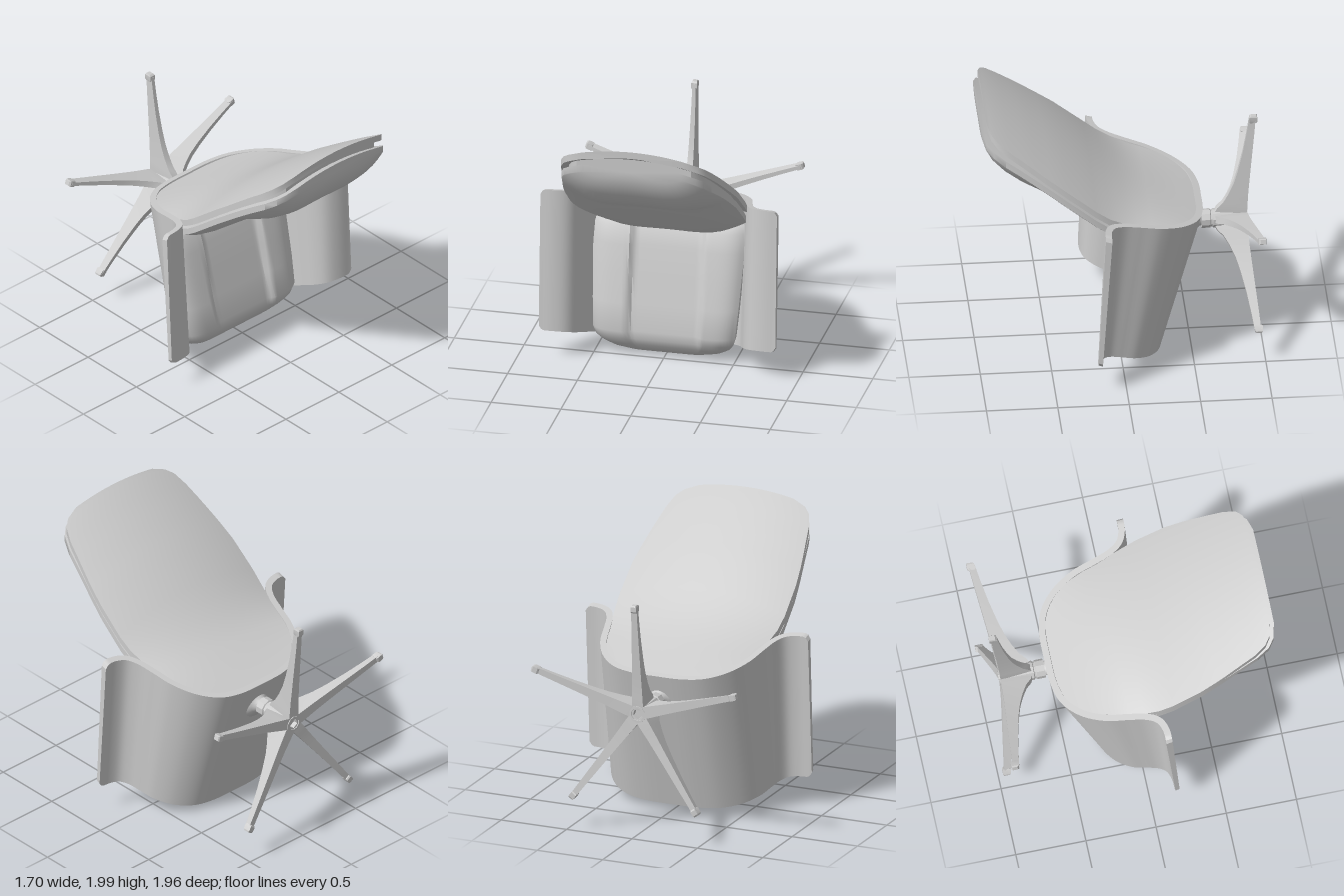
import * as THREE from 'three';
import { toCreasedNormals } from 'three/addons/utils/BufferGeometryUtils.js';

const material = new THREE.MeshStandardMaterial({ color: 0xcccccc });
const V = (x, y, z) => new THREE.Vector3(x, y, z);
const { smoothstep, lerp } = THREE.MathUtils;

// Skin closed rings of equal length, cap both ends and face the skin outwards
function loft(rings, crease = 0.6) {
  const n = rings[0].length, last = rings.length - 1;
  const pts = rings.flat(), tris = [];
  for (let i = 0; i < last; i++) {
    for (let j = 0; j < n; j++) {
      const a = i * n + j, b = i * n + (j + 1) % n;
      tris.push([a, b, a + n], [b, b + n, a + n]);
    }
  }
  for (const i of [0, last]) {
    const c = pts.length;
    pts.push(rings[i].reduce((s, p) => s.add(p), V(0, 0, 0)).divideScalar(n));
    for (let j = 0; j < n; j++) {
      const a = i * n + j, b = i * n + (j + 1) % n;
      tris.push(i ? [a, b, c] : [b, a, c]);
    }
  }
  let volume = 0;
  for (const [a, b, c] of tris) volume += pts[a].dot(V(0, 0, 0).crossVectors(pts[b], pts[c]));
  if (volume < 0) tris.forEach((t) => t.reverse());
  const geo = new THREE.BufferGeometry().setFromPoints(pts);
  geo.setIndex(tris.flat());
  return toCreasedNormals(geo, crease);
}

function add(parent, name, geometry) {
  const mesh = new THREE.Mesh(geometry, material);
  mesh.name = name;
  parent.add(mesh);
}

// Backrest stations: z, half width, height of back surface, height of cushion face
const stations = [
  [-0.55, 0.24, 1.075, 1.05], [-0.53, 0.32, 1.083, 1.05], [-0.45, 0.425, 1.112, 1.03],
  [-0.35, 0.49, 1.152, 0.96], [-0.2, 0.545, 1.215, 0.925], [-0.1, 0.572, 1.262, 0.955],
  [0, 0.60, 1.325, 1.03], [0.1, 0.62, 1.395, 1.10], [0.2, 0.63, 1.475, 1.17],
  [0.4, 0.625, 1.635, 1.33], [0.52, 0.607, 1.72, 1.425], [0.57, 0.597, 1.755, 1.46],
  [0.62, 0.586, 1.79, 1.455], [0.7, 0.568, 1.845, 1.485], [0.8, 0.545, 1.91, 1.56],
  [0.88, 0.51, 1.962, 1.65], [0.92, 0.46, 1.985, 1.73], [0.945, 0.36, 2.0, 1.80],
];
const sag = (x, z) => 0.1 * (x / 0.6) ** 2 * smoothstep(z, -0.5, 0.15);

// A ring across the backrest: over the top surface, back along the underside
function crossRing(w, z, top, bottom, n = 20) {
  const ring = [];
  for (let i = 0; i <= n; i++) { const s = Math.sin((i / n - 0.5) * Math.PI); ring.push(V(s * w, top(s), z)); }
  for (let i = n; i >= 0; i--) { const s = Math.sin((i / n - 0.5) * Math.PI); ring.push(V(s * w, bottom(s), z)); }
  return ring;
}

function backPanel() {
  return loft(stations.map(([z, w, y]) => {
    const top = (s) => y - sag(s * w, z);
    return crossRing(w, z, top, (s) => top(s) - 0.05);
  }));
}

// Narrow recessed joint between panel and cushion
function backJoint() {
  return loft(stations.slice(3, -1).map(([z, w, y]) => {
    const top = (s) => y - 0.04 - sag(s * w, z);
    return crossRing(w - 0.05, z - 0.02, top, (s) => top(s) - 0.07);
  }));
}

function backCushion() {
  return loft(stations.slice(3).map(([z, w, y, face]) => {
    const shift = 0.03 * smoothstep(z, 0.5, 0.95);
    const half = w * 0.985 - 0.04 * (1 - smoothstep(z, -0.35, 0));
    const top = (s) => y - 0.08 - sag(s * half, z);
    const bottom = (s) => {
      const edge = top(s) - 0.05;
      return edge + Math.min(0, face - (y - 0.13)) * (1 - Math.abs(s) ** 3.5);
    };
    return crossRing(half, z + shift, top, bottom);
  }), 0.7);
}

// Curved wrap-around shell with flared wings, shallower towards its lower edge
function shell() {
  const half = [[0.85, 0.105], [0.76, 0.1], [0.69, 0.07], [0.645, 0], [0.61, -0.12],
    [0.57, -0.27], [0.48, -0.43], [0.35, -0.54], [0.2, -0.583]];
  const plan = [...half, [0, -0.59], ...half.slice().reverse().map(([x, z]) => [-x, z])];
  const curve = new THREE.CatmullRomCurve3(plan.map(([x, z]) => V(x, 0, z)));
  const N = 140, rings = [];
  for (let i = 0; i <= N; i++) {
    const p = curve.getPointAt(i / N), t = curve.getTangentAt(i / N);
    const q = V(p.x + t.z * 0.045, 0, p.z - t.x * 0.045);
    const round = 0.035 * Math.max(0, (Math.abs(p.x) - 0.8) / 0.05) ** 3;
    const upper = (a) => V(a.x, 1.24 + 0.275 * a.z - round, a.z);
    const lower = (a) => {
      const z = 0.2 + (a.z - 0.15) * 0.67;
      return V(a.x, 0.153 + 0.367 * z + round, z);
    };
    rings.push([upper(p), lower(p), lower(q), upper(q)]);
  }
  return loft(rings, 0.5);
}

// Seat cushion: stacked sections with raised side bolsters and a rounded back
function seatCushion() {
  // height, half width, inset of front and of back
  const rows = [[0.008, 0.18, 0.17, 0.03], [0.022, 0.3, 0.13, 0.02], [0.05, 0.4, 0.09, 0.01],
    [0.09, 0.455, 0.05, 0], [0.14, 0.49, 0.015, 0], [0.2, 0.508, 0, 0], [0.4, 0.522, 0, 0],
    [0.6, 0.532, 0, 0], [0.8, 0.542, 0, 0], [0.93, 0.547, 0.01, 0], [0.98, 0.535, 0.03, 0.02],
    [1.0, 0.51, 0.07, 0.04]];
  return loft(rows.map(([y, w, inF, inB]) => {
    const lean = -0.25 * (y - 0.1), ring = [], n = 48;
    for (let i = 0; i <= n; i++) {
      const s = -1 + 2 * i / n, x = s * w;
      const bolster = 0.04 * smoothstep(Math.abs(x), 0.235, 0.275) * smoothstep(y, 0.04, 0.25);
      ring.push(V(x, y, 0.035 + lean - inF + bolster - 0.06 * Math.abs(s) ** 9));
    }
    for (let i = 1; i < n; i++) {
      const a = i / n * Math.PI;
      ring.push(V(Math.cos(a) * w, y, lean + lerp(-0.025 - inF, inB - 0.24, Math.sin(a))));
    }
    return ring;
  }), 0.8);
}

// One tapering leg along +y: radius, inner z, outer z, half width
function leg() {
  const rows = [[0.0, -0.67, -0.905, 0.042], [0.06, -0.7, -0.91, 0.042], [0.1, -0.74, -0.912, 0.04],
    [0.17, -0.78, -0.916, 0.037], [0.25, -0.815, -0.923, 0.034], [0.35, -0.845, -0.932, 0.031],
    [0.5, -0.88, -0.946, 0.027], [0.65, -0.907, -0.96, 0.023], [0.77, -0.925, -0.97, 0.021]];
  return loft(rows.map(([r, a, b, w]) =>
    [V(-w * 0.6, r, a), V(w * 0.6, r, a), V(w, r, b), V(-w, r, b)]), 0.5);
}

function foot() {
  return loft([[0.765, -0.933, -0.975, 0.018], [0.775, -0.925, -0.982, 0.021],
    [0.81, -0.928, -0.982, 0.021], [0.82, -0.94, -0.976, 0.016]].map(([r, a, b, w]) =>
    [V(-w, r, a), V(w, r, a), V(w, r, b), V(-w, r, b)]), 0.4);
}

// Turned part around the z axis from [radius, z] pairs, listed towards +z
function turned(profile, sides) {
  const geo = new THREE.LatheGeometry(profile.map(([r, z]) => new THREE.Vector2(r, z)), sides);
  return toCreasedNormals(geo.rotateX(Math.PI / 2), 0.6);
}

export function createModel() {
  const model = new THREE.Group();
  model.name = 'swivelChair';

  add(model, 'shell', shell());
  add(model, 'backPanel', backPanel());
  add(model, 'backJoint', backJoint());
  add(model, 'backCushion', backCushion());
  add(model, 'seatCushion', seatCushion());

  // Star base behind the shell
  const base = new THREE.Group();
  base.name = 'starBase';
  base.position.y = 0.895;
  model.add(base);
  add(base, 'mountingFlare', turned([[0.045, -0.6], [0.052, -0.575], [0.075, -0.55], [0.115, -0.52],
    [0.13, -0.495], [0.13, -0.48], [0, -0.48]], 20));
  add(base, 'hub', turned([[0, -0.87], [0.042, -0.87], [0.046, -0.912], [0.062, -0.912], [0.068, -0.7],
    [0.068, -0.67], [0.06, -0.665], [0.06, -0.655], [0.068, -0.65], [0.068, -0.59], [0, -0.59]], 10));
  const legShape = leg().translate(0, 0.03, 0), footShape = foot();
  for (let i = 0; i < 5; i++) {
    const arm = new THREE.Group();
    arm.name = 'baseLeg';
    arm.rotation.z = i * Math.PI * 2 / 5;
    add(arm, 'leg', legShape);
    add(arm, 'foot', footShape);
    base.add(arm);
  }
  return model;
}
